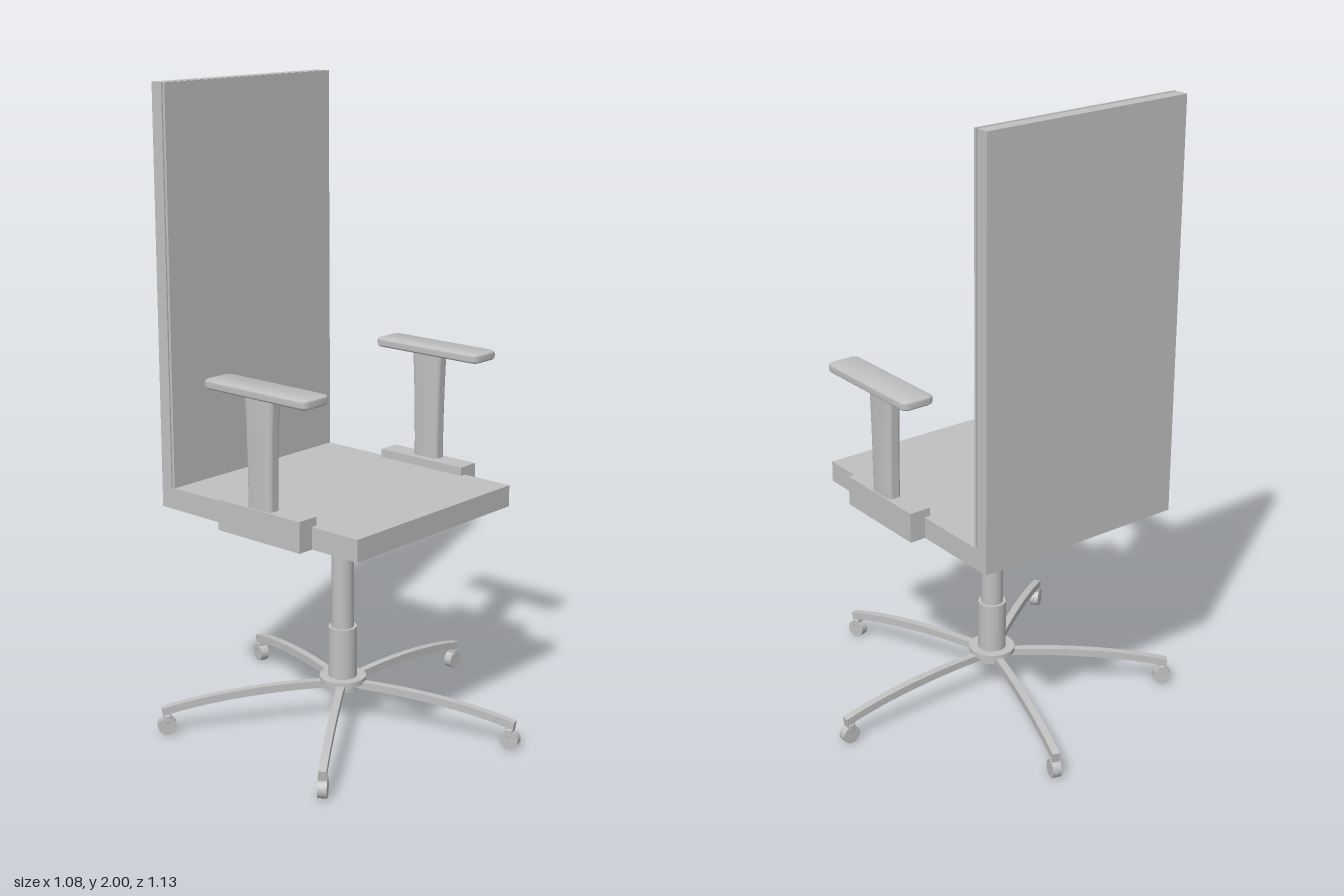
import * as THREE from 'three';
import { RoundedBoxGeometry } from 'three/addons/geometries/RoundedBoxGeometry.js';
import { toCreasedNormals } from 'three/addons/utils/BufferGeometryUtils.js';

const CX = -0.055; // the chair's own centre line

export function createModel() {
  const grey = new THREE.MeshStandardMaterial({ name: 'light grey', color: 0xc0c0c0 });
  const chair = new THREE.Group();
  chair.name = 'officeChair';

  const add = (parent, name, geometry, x = 0, y = 0, z = 0) => {
    const mesh = new THREE.Mesh(geometry, grey);
    mesh.name = name;
    mesh.position.set(x, y, z);
    parent.add(mesh);
    return mesh;
  };
  // Box given by its extents
  const box = (parent, name, x0, x1, y0, y1, z0, z1) =>
    add(parent, name, new THREE.BoxGeometry(x1 - x0, y1 - y0, z1 - z0),
      (x0 + x1) / 2, (y0 + y1) / 2, (z0 + z1) / 2);
  // Upright cylinder between two heights
  const post = (parent, name, r, y0, y1) =>
    add(parent, name, new THREE.CylinderGeometry(r, r, y1 - y0, 40), 0, (y0 + y1) / 2, 0);

  // Seat and backrest: a slightly inset core between two thin panels
  box(chair, 'seat', -0.41, 0.3, 0.7, 0.768, -0.43, 0.375);
  box(chair, 'backCore', -0.405, 0.295, 0.768, 1.995, -0.425, -0.383);
  box(chair, 'backFrontPanel', -0.41, 0.3, 0.768, 2, -0.383, -0.375);
  box(chair, 'backRearPanel', -0.41, 0.3, 0.768, 2, -0.43, -0.389);

  // Armrests, mirrored about the centre line
  const stemShape = new THREE.Shape();
  const hw = 0.0225, hd = 0.052, r = 0.018;
  stemShape.moveTo(-hw + r, -hd);
  stemShape.lineTo(hw - r, -hd);
  stemShape.quadraticCurveTo(hw, -hd, hw, -hd + r);
  stemShape.lineTo(hw, hd - r);
  stemShape.quadraticCurveTo(hw, hd, hw - r, hd);
  stemShape.lineTo(-hw + r, hd);
  stemShape.quadraticCurveTo(-hw, hd, -hw, hd - r);
  stemShape.lineTo(-hw, -hd + r);
  stemShape.quadraticCurveTo(-hw, -hd, -hw + r, -hd);
  let stem = new THREE.ExtrudeGeometry(stemShape, { depth: 0.35, bevelEnabled: false, steps: 6, curveSegments: 6 });
  stem.rotateX(-Math.PI / 2);
  // Flare the stem towards the pad
  const sp = stem.attributes.position;
  for (let i = 0; i < sp.count; i++) {
    const t = sp.getY(i) / 0.35;
    sp.setZ(i, sp.getZ(i) * (0.92 + 0.2 * t * t));
  }
  stem = toCreasedNormals(stem, 0.6);

  // Pad outline with rounded corners and a soft bevel
  const padShape = new THREE.Shape();
  const pw = 0.044, pl = 0.194, pr = 0.012;
  padShape.absarc(pw - pr, pl - pr, pr, 0, Math.PI / 2);
  padShape.absarc(-pw + pr, pl - pr, pr, Math.PI / 2, Math.PI);
  padShape.absarc(-pw + pr, -pl + pr, pr, Math.PI, Math.PI * 1.5);
  padShape.absarc(pw - pr, -pl + pr, pr, Math.PI * 1.5, Math.PI * 2);
  let pad = new THREE.ExtrudeGeometry(padShape, {
    depth: 0.006, bevelThickness: 0.012, bevelSize: 0.012, bevelSegments: 4, curveSegments: 6,
  });
  pad.rotateX(-Math.PI / 2);
  pad.translate(0, -0.003, 0);
  pad = toCreasedNormals(pad, 0.8);

  for (const [side, label] of [[1, 'left'], [-1, 'right']]) {
    const arm = new THREE.Group();
    arm.name = label + 'Armrest';
    arm.position.x = CX;
    chair.add(arm);
    const at = (d) => side * d;
    add(arm, 'armBracket', new THREE.BoxGeometry(0.072, 0.095, 0.33), at(0.371), 0.7475, 0.035);
    add(arm, 'armStem', stem, at(0.38), 0.79, 0.032);
    add(arm, 'armPad', pad, at(0.385), 1.15, 0.05);
  }

  // Gas lift column and hub
  const base = new THREE.Group();
  base.name = 'base';
  base.position.x = CX;
  chair.add(base);
  post(base, 'column', 0.035, 0.3, 0.7);
  post(base, 'columnSleeve', 0.045, 0.14, 0.312);
  post(base, 'hubPlate', 0.074, 0.13, 0.147);
  post(base, 'hub', 0.052, 0.105, 0.132);

  // Arched leg profile, extruded sideways
  const legShape = new THREE.Shape();
  legShape.moveTo(0.02, 0.112);
  legShape.bezierCurveTo(0.22, 0.118, 0.42, 0.1, 0.548, 0.07);
  legShape.lineTo(0.549, 0.05);
  legShape.lineTo(0.571, 0.05);
  legShape.lineTo(0.577, 0.088);
  legShape.bezierCurveTo(0.43, 0.125, 0.23, 0.143, 0.02, 0.134);
  let leg = new THREE.ExtrudeGeometry(legShape, { depth: 0.024, bevelEnabled: false, curveSegments: 16 });
  leg.translate(0, 0, -0.012);
  leg = toCreasedNormals(leg, 0.5);

  const wheel = new THREE.CylinderGeometry(0.029, 0.029, 0.028, 28);
  wheel.rotateX(Math.PI / 2);
  const fork = new RoundedBoxGeometry(0.024, 0.03, 0.03, 3, 0.006);

  for (let i = 0; i < 5; i++) {
    const spoke = new THREE.Group();
    spoke.name = 'spoke' + (i + 1);
    spoke.rotation.y = (i * Math.PI * 2) / 5;
    base.add(spoke);
    add(spoke, 'leg', leg);
    add(spoke, 'casterFork', fork, 0.56, 0.052, 0);
    add(spoke, 'casterWheel', wheel, 0.561, 0.029, 0);
  }
  return chair;
}
